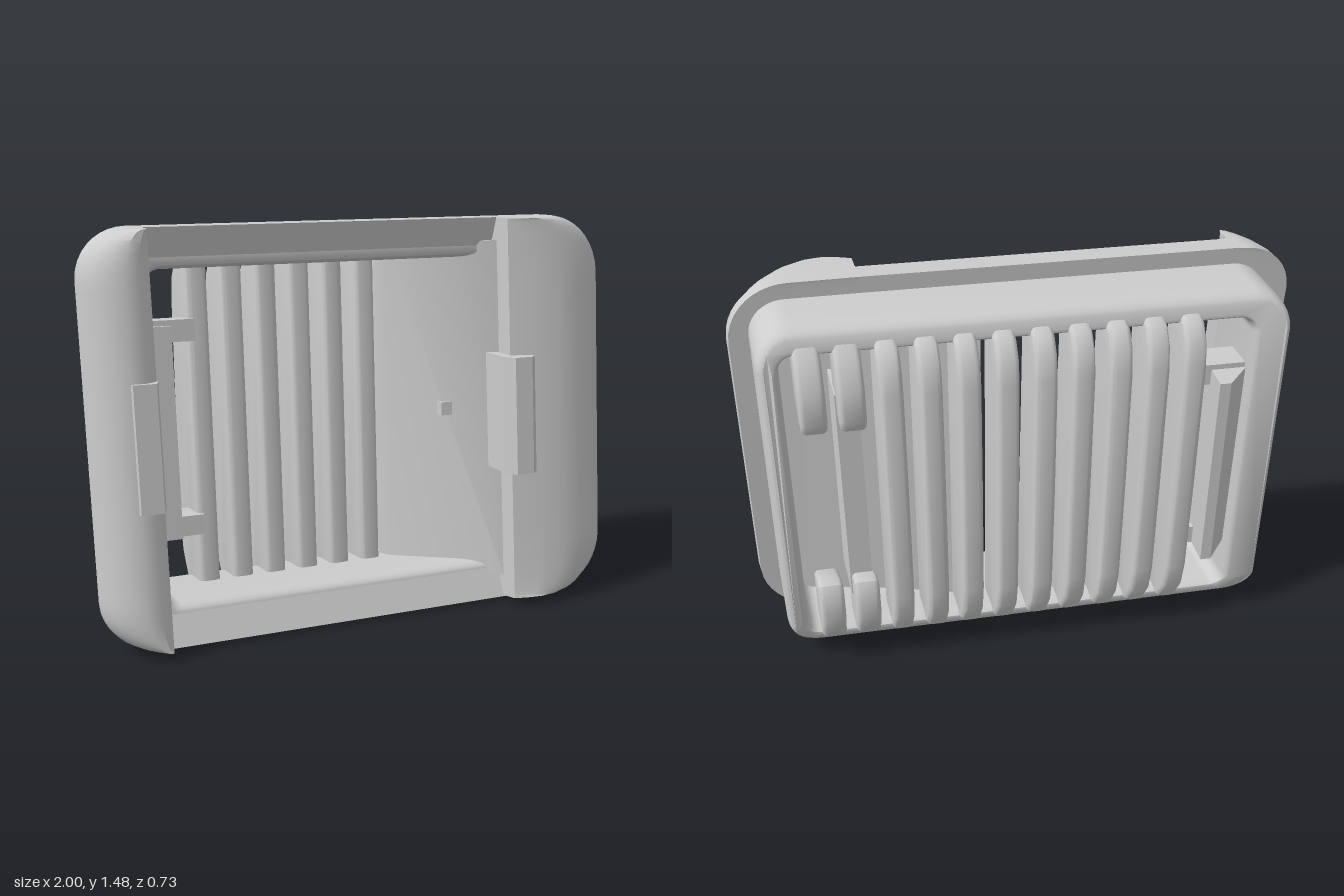
import * as THREE from 'three';
import { toCreasedNormals } from 'three/addons/utils/BufferGeometryUtils.js';

const H = 1.475;

// lean the whole vent: the left side comes forward, the top leans back
function lean(geo) {
  const p = geo.attributes.position;
  for (let i = 0; i < p.count; i++) {
    const x = p.getX(i), y = p.getY(i), z = p.getZ(i);
    const k = 0.02 + 0.07 * THREE.MathUtils.clamp((z + 0.27) / 0.32, 0, 1);
    p.setY(i, y + 0.07 * Math.min(0, z - 0.05));
    p.setZ(i, z + 0.083 * x - k * (y - H / 2));
  }
  return toCreasedNormals(geo, 0.6);
}

function roundedPath(PathType, x0, x1, y0, y1, r) {
  const s = new PathType();
  s.moveTo(x0 + r, y0);
  s.lineTo(x1 - r, y0);
  s.absarc(x1 - r, y0 + r, r, -Math.PI / 2, 0);
  s.absarc(x1 - r, y1 - r, r, 0, Math.PI / 2);
  s.absarc(x0 + r, y1 - r, r, Math.PI / 2, Math.PI);
  s.absarc(x0 + r, y0 + r, r, Math.PI, Math.PI * 1.5);
  return s;
}

// extrude an (x, z) section upward from y0 to y1
function upright(points, y0, y1, steps = 1) {
  const shape = new THREE.Shape(points.map(([x, z]) => new THREE.Vector2(x, -z)));
  const geo = new THREE.ExtrudeGeometry(shape, { depth: y1 - y0, steps, bevelEnabled: false });
  return geo.rotateX(-Math.PI / 2).translate(0, y0, 0);
}

// extrude a (z, y) profile along x, centred on x, with edges rounded by b
function sideways(points, x, width, b) {
  const shape = new THREE.Shape(points.map(([z, y]) => new THREE.Vector2(z, y)));
  const geo = new THREE.ExtrudeGeometry(shape, {
    depth: width - 2 * b, bevelEnabled: b > 0,
    bevelThickness: b, bevelSize: b, bevelOffset: -b, bevelSegments: 3,
  });
  return geo.translate(0, 0, b - width / 2).rotateY(-Math.PI / 2).translate(x, 0, 0);
}

function boxBetween(x0, x1, y0, y1, z0, z1) {
  return new THREE.BoxGeometry(x1 - x0, y1 - y0, z1 - z0)
    .translate((x0 + x1) / 2, (y0 + y1) / 2, (z0 + z1) / 2);
}

// side pillar whose outer edge is rounded at the top and bottom corners
function pillar(points, inner, outer, r) {
  const geo = upright(points, 0, H, 40);
  const p = geo.attributes.position;
  for (let i = 0; i < p.count; i++) {
    const y = H / 2 * (1 - Math.cos(Math.PI * p.getY(i) / H));
    const d = Math.min(y, H - y);
    const cut = d < r ? r - Math.sqrt(Math.max(0, r * r - (r - d) ** 2)) : 0;
    const scale = 1 - cut / Math.abs(outer - inner);
    const lift = 0.18 * Math.max(0, p.getZ(i) - 0.05) * (1 - y / H);
    p.setXYZ(i, inner + (p.getX(i) - inner) * scale, y + lift, p.getZ(i));
  }
  return geo;
}

// open box whose back rim is softened and curves forward at the top and bottom
function housing() {
  const wall = roundedPath(THREE.Shape, -0.91, 0.925, 0.065, 1.415, 0.13);
  wall.holes.push(roundedPath(THREE.Path, -0.768, 0.85, 0.15, 1.325, 0.05));
  const geo = new THREE.ExtrudeGeometry(wall, {
    depth: 0.25, bevelThickness: 0.06, bevelSize: 0.025, bevelOffset: -0.025,
    bevelSegments: 4, curveSegments: 8,
  }).translate(0, 0, -0.21);
  const p = geo.attributes.position;
  for (let i = 0; i < p.count; i++) {
    if (p.getZ(i) > -0.2) continue;
    const e = Math.abs(p.getY(i) - 0.74) / 0.67;
    p.setZ(i, p.getZ(i) + 0.07 * e ** 6);
  }
  return geo;
}

export function createModel() {
  const group = new THREE.Group();
  const plastic = new THREE.MeshStandardMaterial({ color: 0xcccccc });
  plastic.name = 'light grey plastic';
  const add = (name, geo) => {
    const mesh = new THREE.Mesh(lean(geo), plastic);
    mesh.name = name;
    group.add(mesh);
  };

  add('housing', housing());

  // front frame
  add('rightPillar', pillar([
    [-0.79, 0.05], [-0.79, 0.2], [-0.83, 0.22], [-0.88, 0.22], [-0.93, 0.2],
    [-0.975, 0.16], [-1, 0.1], [-1, 0.045],
  ], -0.79, -1, 0.18));
  add('leftPillar', pillar([
    [0.54, 0.05], [0.54, 0.215], [0.65, 0.237], [0.74, 0.243], [0.82, 0.235],
    [0.9, 0.205], [0.96, 0.155], [1, 0.09], [0.995, 0.045],
  ], 0.54, 1, 0.22));
  add('topRail', sideways([[0.05, 1.37], [0.1, 1.37], [0.14, H], [0.05, H]], -0.13, 1.38, 0));
  add('bottomRail', sideways([[0.05, 0.012], [0.14, 0.012], [0.1, 0.12], [0.05, 0.12]], -0.13, 1.38, 0));

  // sloping panel that closes the left part of the opening
  add('slopingPanel', upright([
    [0.17, -0.15], [0.2, -0.1], [0.54, 0.139], [0.56, 0.139], [0.56, 0.06],
    [0.87, 0.06], [0.87, 0], [0.52, -0.06],
  ], 0.1, 1.39));
  add('panelTab', boxBetween(0.345, 0.39, 0.725, 0.775, -0.02, 0.045));

  // clips on the pillars
  add('rightClip', upright([
    [-0.9, 0.1], [-0.79, 0.06], [-0.785, 0.2], [-0.8, 0.235], [-0.88, 0.235],
  ], 0.53, 0.97));
  add('leftClip', upright([
    [0.5, 0.06], [0.6, 0.1], [0.625, 0.245], [0.6, 0.268], [0.53, 0.268], [0.5, 0.23],
  ], 0.53, 0.97));

  // full slats
  const profile = [
    [-0.1, 0.12], [-0.2, 0.1], [-0.25, 0.13], [-0.295, 0.22], [-0.313, 0.33], [-0.318, 0.75],
    [-0.315, 1.2], [-0.3, 1.29], [-0.26, 1.35], [-0.21, 1.37], [-0.1, 1.35],
  ];
  for (let i = 0; i < 9; i++) add('slat', sideways(profile, -0.54 + i * 0.13, 0.078, 0.018));

  // short slats at the top and bottom of the left end
  const stub = [
    [-0.12, 0.1], [-0.21, 0.1], [-0.265, 0.15], [-0.305, 0.25], [-0.305, 0.37],
    [-0.285, 0.41], [-0.24, 0.41], [-0.12, 0.34],
  ];
  for (const x of [0.63, 0.76]) {
    add('lowerShortSlat', sideways(stub, x, 0.09, 0.018));
    add('upperShortSlat', sideways(stub.map(([z, y]) => [z, 1.475 - y]).reverse(), x, 0.09, 0.018));
  }
  add('recessPost', boxBetween(0.6, 0.68, 0.3, 1.17, -0.22, 0));

  // paddle at the right end
  add('paddle', upright([
    [-0.775, -0.05], [-0.655, -0.05], [-0.64, -0.3], [-0.68, -0.3], [-0.775, -0.2],
  ], 0.34, 1.12));
  add('paddleUpperArm', boxBetween(-0.77, -0.56, 1.06, 1.14, -0.2, -0.08));
  add('paddleLowerArm', boxBetween(-0.77, -0.56, 0.34, 0.415, -0.2, -0.08));

  return group;
}
